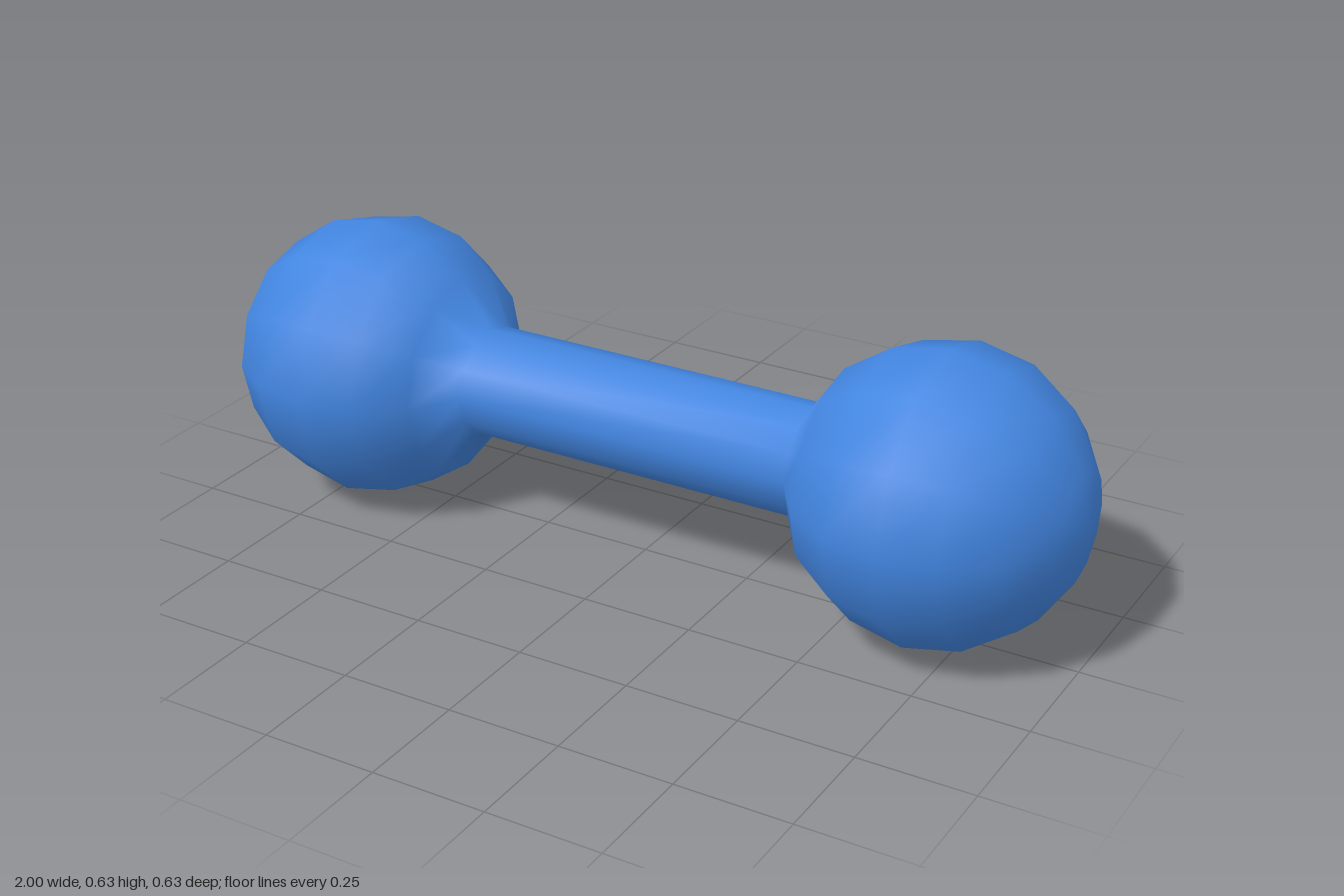
import * as THREE from 'three';
import { mergeVertices } from 'three/addons/utils/BufferGeometryUtils.js';

const RADIUS = 0.316; // ball radius
const CENTER = 1 - RADIUS; // distance of each ball from the middle
const SIDES = 12;
const RINGS = 8; // rings from pole to pole of a ball

export function createModel() {
  const group = new THREE.Group();
  group.name = 'dumbbell';
  const material = new THREE.MeshStandardMaterial({ color: 0x4285e0 });

  // One continuous profile: ball, straight bar, ball.
  // Each ball stops one ring short of its inner pole, where the bar starts.
  const ball = [];
  for (let i = 0; i < RINGS; i++) {
    const a = (i / RINGS) * Math.PI;
    ball.push(new THREE.Vector2(RADIUS * Math.sin(a), -CENTER - RADIUS * Math.cos(a)));
  }
  const mirrored = ball.map((p) => new THREE.Vector2(p.x, -p.y)).reverse();

  // Weld seam and poles so the shading runs smoothly over the whole body.
  let geometry = new THREE.LatheGeometry([...ball, ...mirrored], SIDES);
  geometry.deleteAttribute('uv');
  geometry.deleteAttribute('normal');
  geometry = mergeVertices(geometry, 1e-4);
  geometry.computeVertexNormals();
  geometry.rotateZ(-Math.PI / 2);

  const body = new THREE.Mesh(geometry, material);
  body.name = 'ballsAndBar';
  body.position.y = RADIUS;
  group.add(body);
  return group;
}
